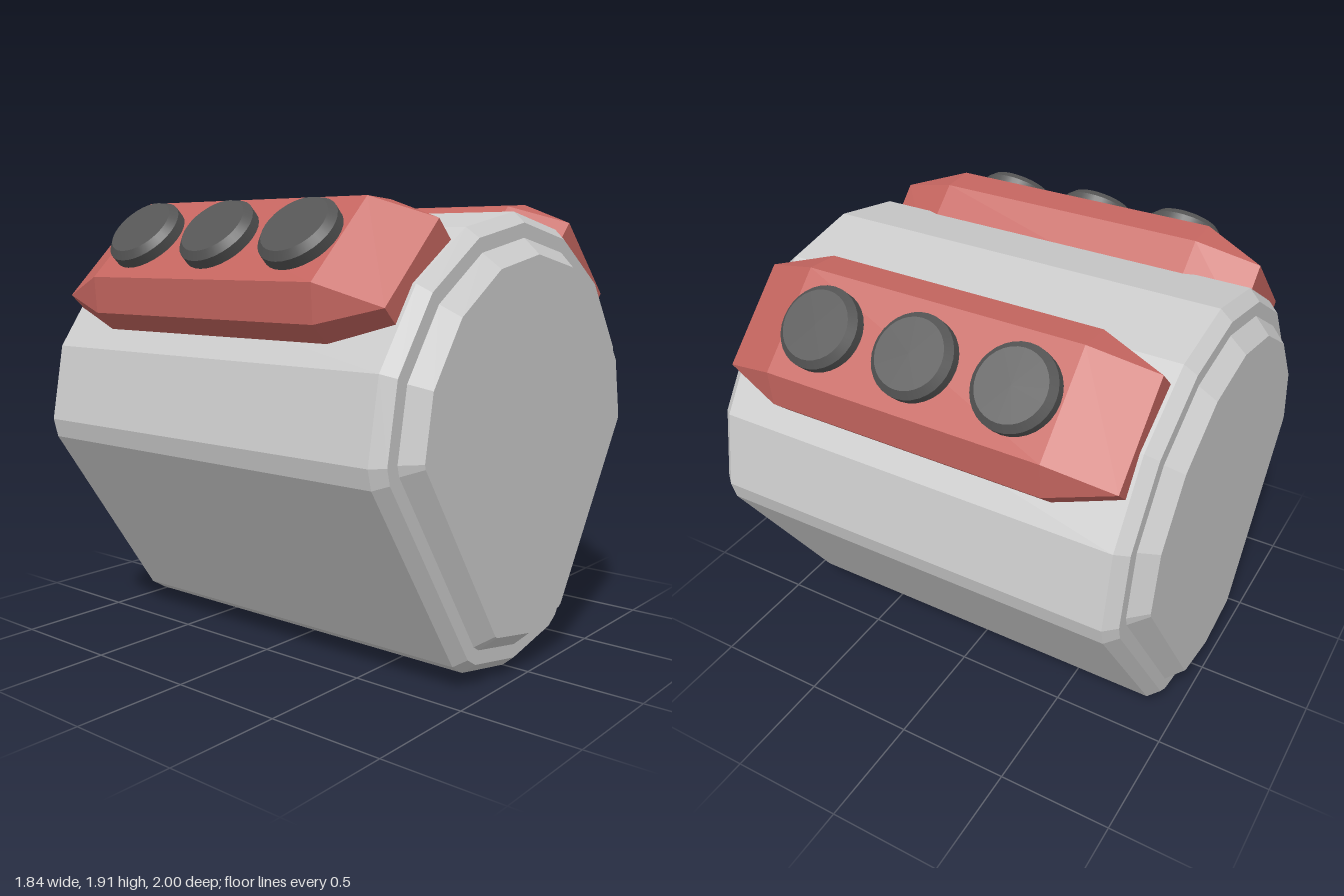
import * as THREE from 'three';

const grey = new THREE.MeshStandardMaterial({ color: 0xcccccc, flatShading: true });
const red = new THREE.MeshStandardMaterial({ color: 0xc4655f, flatShading: true });
const dark = new THREE.MeshStandardMaterial({ color: 0x555555 });

// Skins counter-clockwise cross-sections [{ z, pts }], ordered back to front, and caps both ends
function loft(sections) {
  const out = [];
  const rings = sections.map(({ z, pts }) => pts.map(([x, y]) => new THREE.Vector3(x, y, z)));
  const tri = (a, b, c) => {
    if (new THREE.Triangle(a, b, c).getArea() < 1e-7) return;
    for (const p of [a, b, c]) out.push(p.x, p.y, p.z);
  };
  const n = rings[0].length;
  for (let i = 0; i < rings.length - 1; i++) {
    for (let j = 0; j < n; j++) {
      const k = (j + 1) % n;
      tri(rings[i][j], rings[i][k], rings[i + 1][k]);
      tri(rings[i][j], rings[i + 1][k], rings[i + 1][j]);
    }
  }
  const back = rings[0], front = rings[rings.length - 1];
  for (let j = 1; j < n - 1; j++) {
    tri(back[0], back[j + 1], back[j]);
    tri(front[0], front[j], front[j + 1]);
  }
  const geo = new THREE.BufferGeometry();
  geo.setAttribute('position', new THREE.Float32BufferAttribute(out, 3));
  geo.computeVertexNormals();
  return geo;
}

// Moves every edge of an outline inward by d, with mitred corners
function inset(pts, d) {
  const n = pts.length;
  const normals = pts.map(([x, y], i) => {
    const [x2, y2] = pts[(i + 1) % n];
    return new THREE.Vector2(y - y2, x2 - x).normalize();
  });
  return pts.map(([x, y], i) => {
    const a = normals[(i + n - 1) % n], b = normals[i];
    const s = d / (1 + a.dot(b));
    return [x + (a.x + b.x) * s, y + (a.y + b.y) * s];
  });
}

function mesh(name, geometry, material) {
  const m = new THREE.Mesh(geometry, material);
  m.name = name;
  return m;
}

// Rounded-triangle barrel with chamfered rims and raised end plates
function makeBody() {
  const half = [[0, 0.005], [0.31, 0.065], [0.38, 0.11], [0.9, 0.9], [0.92, 0.98],
    [0.86, 1.3], [0.65, 1.6], [0.34, 1.8], [0, 1.865]];
  const outline = [...half, ...half.slice(1, -1).reverse().map(([x, y]) => [-x, y])];
  const steps = [[0.88, 0], [0.93, 0.043], [0.93, 0.1], [1, 0.163]]; // [z, inset]
  const front = steps.map(([z, d]) => ({ z, pts: inset(outline, d) }));
  const back = front.map(({ z, pts }) => ({ z: -z, pts })).reverse();
  return mesh('body', loft([...back, ...front]), grey);
}

// Slanted housing with tapered ends, carrying three round knobs
function makePod(name) {
  const pod = new THREE.Group();
  pod.name = name;
  const mid = [[0.67, 1.26], [0.88, 1.455], [0.89, 1.605], [0.57, 1.915], [0.425, 1.905], [0.2, 1.7]];
  const end = [[0.62, 1.34], [0.81, 1.52], [0.81, 1.52], [0.49, 1.83], [0.49, 1.83], [0.3, 1.64]];
  pod.add(mesh('housing', loft([
    { z: -0.865, pts: end }, { z: -0.6, pts: mid }, { z: 0.6, pts: mid }, { z: 0.865, pts: end },
  ]), red));

  for (const z of [-0.425, 0, 0.425]) {
    const knob = new THREE.Group();
    knob.name = 'knob';
    const base = mesh('knobBase', new THREE.CylinderGeometry(0.167, 0.167, 0.065, 32), dark);
    base.position.y = 0.0125;
    const cap = mesh('knobCap', new THREE.CylinderGeometry(0.14, 0.167, 0.027, 32), dark);
    cap.position.y = 0.0585;
    knob.add(base, cap);
    knob.position.set(0.73, 1.76, z);
    knob.rotation.z = -Math.PI / 4;
    pod.add(knob);
  }
  return pod;
}

export function createModel() {
  const model = new THREE.Group();
  model.name = 'model';
  const leftPod = makePod('leftPod');
  const rightPod = makePod('rightPod');
  rightPod.rotation.y = Math.PI;
  model.add(makeBody(), leftPod, rightPod);
  return model;
}
